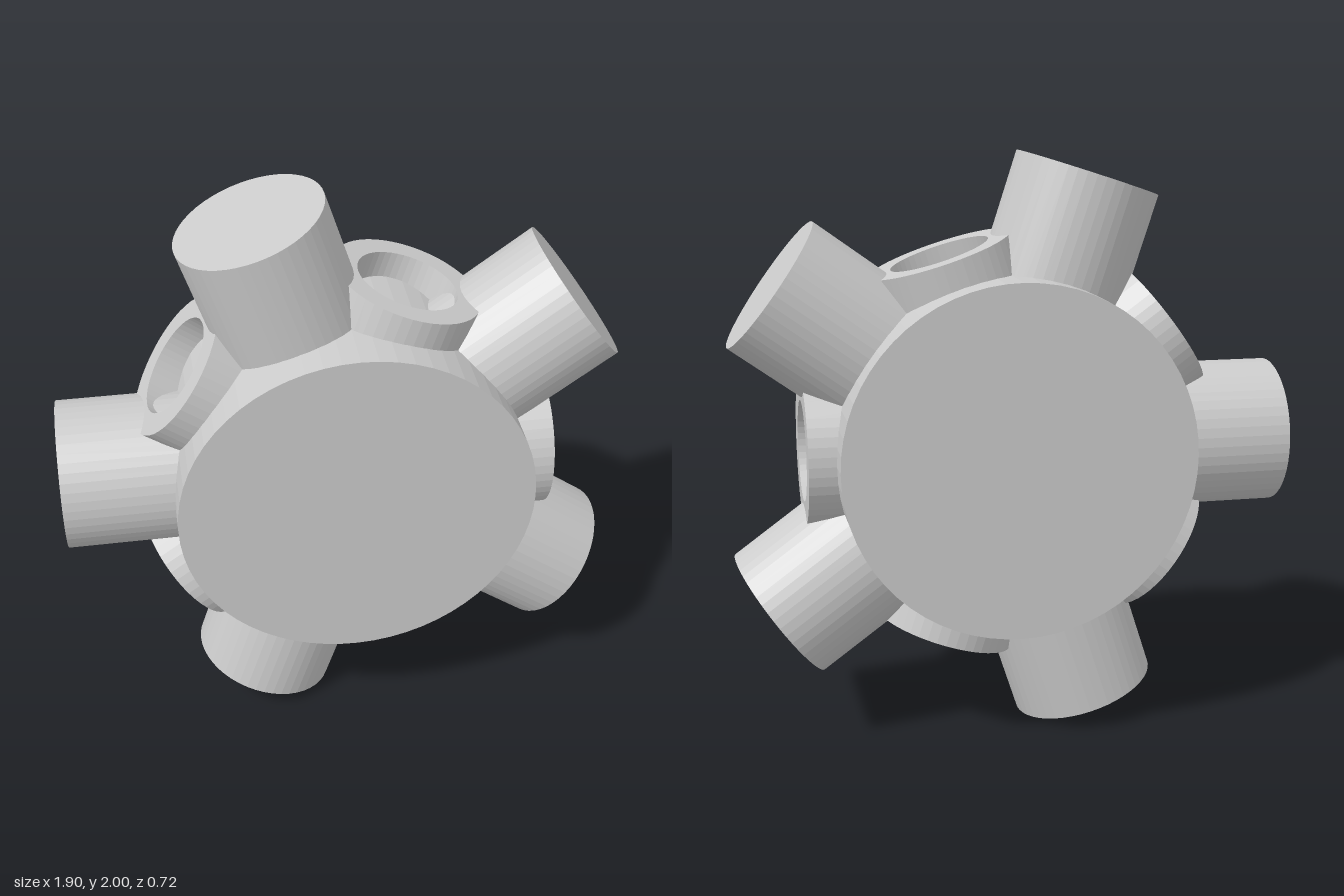
import * as THREE from 'three';

const DRUM_RADIUS = 0.6, DRUM_DEPTH = 0.72;
const PEG_RADIUS = 0.253, PEG_REACH = 0.969;
const HOLE_RADIUS = 0.173, SOCKET_REACH = 0.692;
const ROOT = 0.45; // where pegs and sockets start, buried in the drum
const COUNT = 5;

export function createModel() {
  const model = new THREE.Group();
  model.name = 'hub';
  const material = new THREE.MeshStandardMaterial({ color: 0xcccccc, flatShading: true });

  const hub = new THREE.Group();
  hub.position.set(0.018, 1, 0);
  model.add(hub);

  // Places a part whose axis is y so that it points outward at an angle
  const addRadial = (geometry, name, angle) => {
    const mesh = new THREE.Mesh(geometry, material);
    mesh.name = name;
    mesh.rotation.z = angle - Math.PI / 2;
    hub.add(mesh);
  };

  // Central drum, axis front to back
  const drum = new THREE.Mesh(
    new THREE.CylinderGeometry(DRUM_RADIUS, DRUM_RADIUS, DRUM_DEPTH, 64), material);
  drum.name = 'drum';
  drum.rotation.x = Math.PI / 2;
  hub.add(drum);

  // Solid peg
  const peg = new THREE.CylinderGeometry(PEG_RADIUS, PEG_RADIUS, PEG_REACH - ROOT, 48);
  peg.translate(0, (PEG_REACH + ROOT) / 2, 0);

  // Open socket: a short tube whose floor is the drum surface
  const socket = new THREE.LatheGeometry([
    new THREE.Vector2(PEG_RADIUS, ROOT),
    new THREE.Vector2(PEG_RADIUS, SOCKET_REACH),
    new THREE.Vector2(HOLE_RADIUS, SOCKET_REACH),
    new THREE.Vector2(HOLE_RADIUS, ROOT),
  ], 48);

  // Sockets and pegs alternate around the rim
  for (let i = 0; i < COUNT; i++) {
    const angle = (i * 2 * Math.PI) / COUNT;
    addRadial(socket, `socket${i + 1}`, angle);
    addRadial(peg, `peg${i + 1}`, angle + Math.PI / COUNT);
  }
  return model;
}
